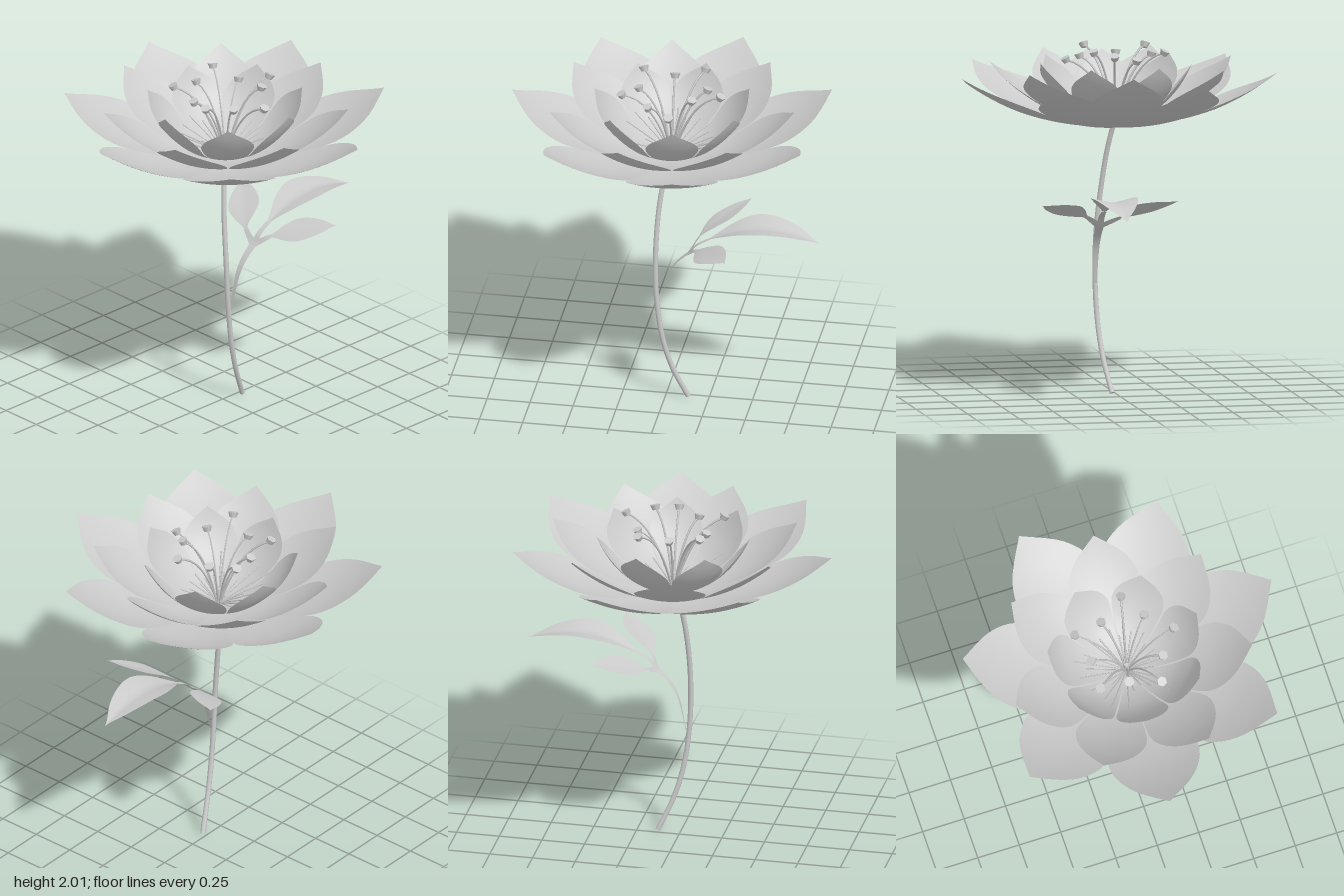
import * as THREE from 'three';

const material = new THREE.MeshStandardMaterial({ color: 0xcccccc, side: THREE.DoubleSide });
const vec = (x, y, z) => new THREE.Vector3(x, y, z);
const curve2 = (pts) => new THREE.SplineCurve(pts.map(([x, y]) => new THREE.Vector2(x, y)));
const centre = vec(-0.01, 0, -0.03);

function addMesh(parent, name, geometry) {
  const mesh = new THREE.Mesh(geometry, material);
  mesh.name = name;
  parent.add(mesh);
  return mesh;
}

// Grid surface: fn(u in 0..1, v in -1..1) returns a point
function sheet(nu, nv, fn) {
  const pos = [], index = [];
  for (let i = 0; i <= nu; i++) {
    for (let j = 0; j <= nv; j++) {
      pos.push(...fn(i / nu, (2 * j) / nv - 1).toArray());
      if (i < nu && j < nv) {
        const a = i * (nv + 1) + j, b = a + nv + 1;
        index.push(a, a + 1, b, b, a + 1, b + 1);
      }
    }
  }
  const g = new THREE.BufferGeometry();
  g.setAttribute('position', new THREE.Float32BufferAttribute(pos, 3));
  g.setIndex(index);
  g.computeVertexNormals();
  return g;
}

// Relative half width, evenly spaced from base to tip
const outline = (values) => {
  const c = curve2(values.map((w, i) => [i, w]));
  return (t) => Math.max(0, c.getPoint(t).y);
};
const petalWidth = outline([0.1, 0.39, 0.74, 0.98, 0.7, 0]);
const leafWidth = outline([0.12, 0.65, 1, 0.9, 0.55, 0]);

// One ring of seven cupped petals
function petalRing(name, profilePts, halfWidth, cup, startDegrees) {
  const ring = new THREE.Group();
  ring.name = name;
  const profile = curve2(profilePts);
  const geometry = sheet(24, 12, (t, v) => {
    const p = profile.getPoint(t);
    const side = v * halfWidth * petalWidth(t);
    return vec(p.x, p.y + cup * side * side, side);
  });
  for (let i = 0; i < 7; i++) {
    const petal = addMesh(ring, 'petal', geometry);
    petal.position.copy(centre);
    petal.rotation.y = -THREE.MathUtils.degToRad(startDegrees + (i * 360) / 7);
  }
  return ring;
}

// Thin thread that rises from the flower's heart and arches outward; lift sets how steeply
function filament(x, y, z, radius, lift) {
  const c = new THREE.QuadraticBezierCurve3(
    vec(centre.x + x * 0.04, 1.56, centre.z + z * 0.04),
    vec(centre.x + (x - centre.x) * 0.4, 1.56 + (y - 1.56) * lift, centre.z + (z - centre.z) * 0.4),
    vec(x, y, z));
  return new THREE.TubeGeometry(c, 10, radius, 4);
}

function stamens() {
  const group = new THREE.Group();
  group.name = 'stamens';
  const tips = [
    [0.05, 1.97, -0.32], [-0.1, 1.93, -0.22], [-0.27, 1.97, -0.18], [-0.23, 1.94, -0.01],
    [-0.23, 1.97, 0.17], [-0.06, 1.93, 0.17], [0.11, 1.97, 0.24], [0.17, 1.93, 0.08],
    [0.28, 1.93, -0.06], [0.14, 1.98, -0.17],
  ];
  for (const [x, y, z] of tips) {
    addMesh(group, 'stamenFilament', filament(x, y, z, 0.006, 0.9));
    const anther = addMesh(group, 'anther', new THREE.CylinderGeometry(0.03, 0.02, 0.03, 6));
    anther.position.set(x, y, z);
    anther.quaternion.setFromUnitVectors(vec(0, 1, 0),
      vec(x - centre.x, 0.6, z - centre.z).normalize());
  }
  // Short bare threads lying close to the inner petals
  for (let i = 0; i < 26; i++) {
    const a = i * 2.4, r = 0.14 + 0.16 * ((i * 7) % 11) / 10;
    const x = centre.x + r * Math.cos(a), z = centre.z + r * Math.sin(a);
    addMesh(group, 'bareFilament', filament(x, 1.6 + 1.2 * r * r, z, 0.004, 0.4));
  }
  addMesh(group, 'pistil', new THREE.CylinderGeometry(0.012, 0.02, 0.1, 8))
    .position.set(centre.x, 1.6, centre.z);
  return group;
}

// Three leaflets and their stalks, all cut from one arched thin sheet
function leafBranch() {
  const group = new THREE.Group();
  group.name = 'leafBranch';
  const arch = curve2([
    [0.02, 0.62], [-0.02, 0.8], [-0.07, 0.9], [-0.15, 0.98], [-0.2, 1.035], [-0.3, 1.09],
    [-0.45, 1.148], [-0.6, 1.168], [-0.75, 1.152], [-0.91, 1.105],
  ]);
  arch.arcLengthDivisions = 400;
  const length = arch.getLength();

  // Strip from (x0, s0) to (x1, s1), s being the distance along the arch
  const strip = (name, [x0, s0], [x1, s1], width, cup) => {
    const d = new THREE.Vector2(x1 - x0, s1 - s0).normalize();
    addMesh(group, name, sheet(20, 8, (t, v) => {
      const w = v * width(t);
      const x = x0 + (x1 - x0) * t + d.y * w;
      const s = s0 + (s1 - s0) * t - d.x * w;
      const p = arch.getPointAt(THREE.MathUtils.clamp(s / length, 0, 1));
      return vec(x, p.y + cup * Math.abs(w), p.x);
    }));
  };
  const taper = (a, b) => (t) => a + (b - a) * t;
  const fork = [0.1, 0.4];
  strip('branchStalk', [0.09, 0], fork, taper(0.008, 0.025), 0);
  const leaflets = [
    ['centreLeaflet', [0.1, 0.57], [0.1, length], 0.13, 0.22],
    ['leftLeaflet', [0.19, 0.49], [0.495, 0.735], 0.092, 0.08],
    ['rightLeaflet', [-0.01, 0.47], [-0.3, 0.755], 0.092, 0.08],
  ];
  for (const [name, base, tip, half, cup] of leaflets) {
    strip(name + 'Stalk', fork, base, taper(0.022, 0.014), 0);
    strip(name, base, tip, (t) => half * leafWidth(t), cup);
  }
  return group;
}

export function createModel() {
  const model = new THREE.Group();
  model.name = 'flower';

  // Curved stem with closed ends
  const stemPts = [
    [0.025, 0.005, -0.13], [0.06, 0.2, -0.045], [0.08, 0.4, 0.01], [0.088, 0.65, 0.042],
    [0.08, 0.92, 0.05], [0.05, 1.2, 0.037], [0.022, 1.4, 0.01], [-0.01, 1.56, -0.025],
  ].map((p) => vec(...p));
  const stemCurve = new THREE.CatmullRomCurve3(stemPts);
  addMesh(model, 'stem', new THREE.TubeGeometry(stemCurve, 40, 0.015, 10));
  for (const t of [0, 1]) {
    const cap = addMesh(model, 'stemCap', new THREE.CircleGeometry(0.015, 10));
    cap.position.copy(stemCurve.getPoint(t));
    cap.quaternion.setFromUnitVectors(vec(0, 0, 1), stemCurve.getTangent(t));
  }

  model.add(leafBranch());
  model.add(petalRing('outerPetals',
    [[0, 1.55], [0.2, 1.553], [0.4, 1.588], [0.6, 1.652], [0.78, 1.745], [0.94, 1.855]], 0.27, 0.55, 93));
  model.add(petalRing('middlePetals',
    [[0, 1.552], [0.17, 1.57], [0.33, 1.615], [0.48, 1.695], [0.61, 1.795], [0.72, 1.905]], 0.21, 0.85, -87));
  model.add(petalRing('innerPetals',
    [[0, 1.555], [0.13, 1.58], [0.25, 1.64], [0.345, 1.73], [0.41, 1.825], [0.455, 1.92]], 0.155, 1.5, 93));
  model.add(stamens());
  return model;
}
